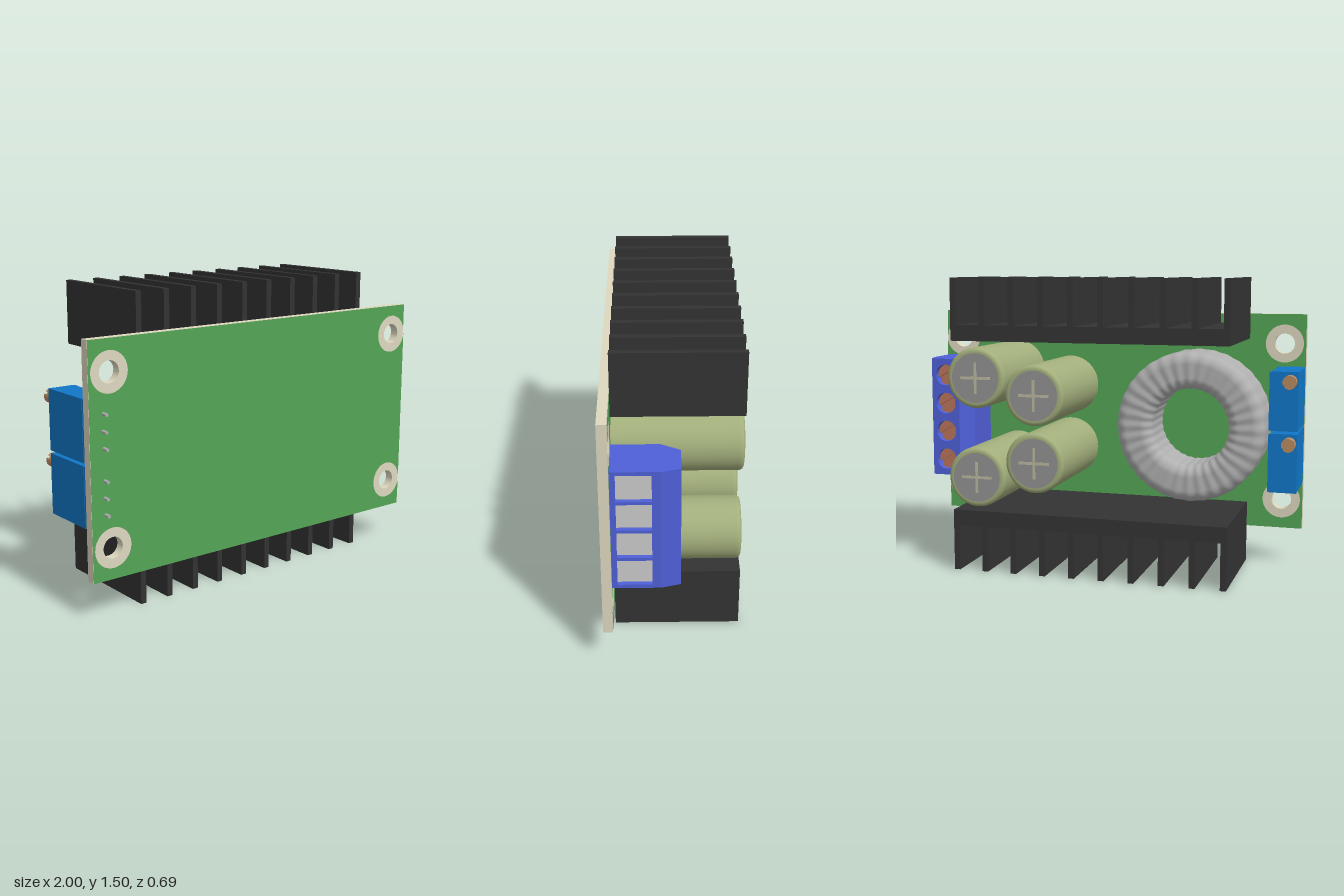
import * as THREE from 'three';
import { toCreasedNormals } from 'three/addons/utils/BufferGeometryUtils.js';

const mat = (color) => new THREE.MeshStandardMaterial({ color });
const M = {
  green: mat(0x55a556), tan: mat(0xded8bf), black: mat(0x333333), violet: mat(0x4f60d8),
  blue: mat(0x1177c8), brass: mat(0xb98a60), copper: mat(0xb8735a), pale: mat(0xdddddd),
  olive: mat(0xa3af7c), grey: mat(0x929292), cross: mat(0xbcb8a0), steel: mat(0xb0b0b0),
};
const MID = 0.75, BACK = -0.345, FACE = 0.265;

function add(parent, name, geo, material, x = 0, y = 0, z = 0) {
  const m = new THREE.Mesh(geo, material);
  m.name = name;
  m.position.set(x, y, z);
  parent.add(m);
  return m;
}

// Box given by its limits
function box(parent, name, material, x0, x1, y0, y1, z0, z1) {
  return add(parent, name, new THREE.BoxGeometry(x1 - x0, y1 - y0, z1 - z0), material,
    (x0 + x1) / 2, (y0 + y1) / 2, (z0 + z1) / 2);
}

function rect(x0, x1, y0, y1, Type = THREE.Shape) {
  const s = new Type();
  s.moveTo(x0, y0);
  s.lineTo(x1, y0);
  s.lineTo(x1, y1);
  s.lineTo(x0, y1);
  s.closePath();
  return s;
}

const circle = (x, y, r) => new THREE.Path().absarc(x, y, r, 0, Math.PI * 2, true);
const extrude = (shape, depth) => toCreasedNormals(
  new THREE.ExtrudeGeometry(shape, { depth, bevelEnabled: false, curveSegments: 20 }), 0.6);

// Screw with a slotted head, pointing to +z from its base
function slottedScrew(name, r, height, material) {
  const g = new THREE.Group();
  g.name = name;
  const slot = height * 0.35, a = 0.2;
  const shaft = new THREE.CylinderGeometry(r, r, height - slot, 24).rotateX(Math.PI / 2);
  add(g, 'screwBody', shaft, material, 0, 0, (height - slot) / 2);
  const half = new THREE.Shape().absarc(0, 0, r, a, Math.PI - a, false);
  half.closePath();
  for (const turn of [0, Math.PI]) {
    add(g, 'screwHeadHalf', extrude(half, slot), material, 0, 0, height - slot).rotation.z = turn;
  }
  return g;
}

// Circuit board with four plated mounting holes
function board() {
  const g = new THREE.Group();
  g.name = 'circuitBoard';
  const spots = [];
  for (const x of [-0.89, 0.905]) for (const y of [0.34, 1.16]) spots.push([x, y]);
  const core = rect(-1, 1, 0.188, 1.312), layer = rect(-1, 1, 0.188, 1.312);
  for (const [x, y] of spots) {
    core.holes.push(circle(x, y, 0.052));
    layer.holes.push(circle(x, y, 0.098));
  }
  add(g, 'boardCore', extrude(core, 0.046), M.tan, 0, 0, FACE + 0.002);
  const skin = new THREE.ShapeGeometry(layer, 24);
  add(g, 'frontSolderMask', skin, M.green, 0, 0, 0.315);
  add(g, 'backSolderMask', skin.clone().rotateY(Math.PI), M.green, 0, 0, FACE)
    .geometry = new THREE.ShapeGeometry(layer, 24).scale(1, 1, -1);
  // Reverse the winding so the back layer faces -z
  const back = g.children[2].geometry;
  back.setIndex(Array.from(back.index.array).reverse());
  back.computeVertexNormals();
  return g;
}

// Finned heat sink, fins upward
function heatSink() {
  const g = new THREE.Group();
  g.name = 'heatSink';
  box(g, 'sinkBase', M.black, -0.71, 0.71, 0, 0.08, BACK, FACE);
  for (let i = 0; i < 10; i++) {
    const x = -0.695 + i * 0.1544;
    box(g, 'fin', M.black, x - 0.015, x + 0.015, 0.08, 0.316, BACK, FACE);
  }
  return g;
}

// Can with rounded rim, grey end disc and cross
function capacitor() {
  const g = new THREE.Group();
  g.name = 'capacitor';
  const r = 0.154, h = FACE - BACK, c = 0.022;
  const pts = [new THREE.Vector2(r, 0), new THREE.Vector2(r, 0.02), new THREE.Vector2(r, h - c - 0.01)];
  for (let i = 0; i <= 6; i++) {
    const t = i / 6 * Math.PI / 2;
    pts.push(new THREE.Vector2(r - c + c * Math.cos(t), h - c + c * Math.sin(t)));
  }
  pts.push(new THREE.Vector2(r - c - 0.006, h));
  add(g, 'can', new THREE.LatheGeometry(pts, 48).rotateX(-Math.PI / 2), M.olive, 0, 0, FACE);
  const disc = new THREE.CylinderGeometry(0.128, 0.128, 0.02, 48).rotateX(Math.PI / 2);
  add(g, 'endDisc', disc, M.grey, 0, 0, BACK + 0.011);
  box(g, 'crossBar', M.cross, -0.08, 0.08, -0.007, 0.007, BACK - 0.001, BACK + 0.005);
  box(g, 'crossBar', M.cross, -0.007, 0.007, -0.08, 0.08, BACK - 0.001, BACK + 0.005);
  return g;
}

// Wound ring: rounded-rectangle section with rippled turns
function coil() {
  const r0 = 0.195, r1 = 0.385, h = 0.162, c = 0.06;
  const s = new THREE.Shape();
  s.absarc(r1 - c, h - c, c, 0, Math.PI / 2, false);
  s.absarc(r0 + c, h - c, c, Math.PI / 2, Math.PI, false);
  s.absarc(r0 + c, -h + c, c, Math.PI, Math.PI * 1.5, false);
  s.absarc(r1 - c, -h + c, c, Math.PI * 1.5, Math.PI * 2, false);
  s.closePath();
  const geo = new THREE.LatheGeometry(s.getPoints(6), 192);
  const p = geo.attributes.position, rm = (r0 + r1) / 2;
  for (let i = 0; i < p.count; i++) {
    const x = p.getX(i), z = p.getZ(i), r = Math.hypot(x, z);
    const k = 0.985 + 0.015 * Math.cos(32 * Math.atan2(z, x));
    const f = (rm + (r - rm) * k) / r;
    p.setXYZ(i, x * f, p.getY(i) * k, z * f);
  }
  geo.computeVertexNormals();
  return geo.rotateX(Math.PI / 2);
}

// Four-way screw terminal
function terminal() {
  const g = new THREE.Group();
  g.name = 'terminalBlock';
  const ways = [-0.228, -0.076, 0.076, 0.228];
  box(g, 'terminalBody', M.violet, 0.75, 0.955, 0.435, 1.065, 0.04, FACE);
  // Side wall with wire openings
  const wall = rect(-FACE, -0.04, -0.315, 0.315);
  for (const y of ways) wall.holes.push(rect(-0.24, -0.08, y - 0.068, y + 0.068, THREE.Path));
  add(g, 'wireSide', extrude(wall, 0.025), M.violet, 0.955, MID, 0).rotation.y = Math.PI / 2;
  // Tapered cap with screw holes
  const top = rect(-0.115, 0.115, -0.315, 0.315);
  for (const y of ways) top.holes.push(circle(-0.012, y, 0.056));
  let cap = new THREE.ExtrudeGeometry(top, { depth: 0.09, bevelEnabled: false, curveSegments: 20 });
  const p = cap.attributes.position;
  for (let i = 0; i < p.count; i++) {
    if (p.getZ(i) < 0.08) continue;
    if (p.getX(i) > 0.11) p.setX(i, 0.065);
    else if (p.getX(i) < -0.11) p.setX(i, -0.09);
  }
  cap = toCreasedNormals(cap, 0.6);
  add(g, 'terminalCap', cap, M.violet, 0.865, MID, 0.04).rotation.y = Math.PI;
  for (const y of ways) {
    box(g, 'wireClamp', M.pale, 0.95, 0.958, MID + y - 0.068, MID + y + 0.068, 0.08, 0.24);
    const screw = slottedScrew('terminalScrew', 0.055, 0.06, M.copper);
    screw.position.set(0.877, MID + y, 0.04);
    screw.rotation.set(0, Math.PI, 0.5);
    g.add(screw);
  }
  return g;
}

// Adjuster block with screw and three pins through the board
function trimmer(y) {
  const g = new THREE.Group();
  g.name = 'trimmer';
  box(g, 'trimmerBody', M.blue, -1, -0.866, y - 0.148, y + 0.148, -0.04, 0.255);
  box(g, 'trimmerRim', M.blue, -0.998, -0.856, y - 0.146, y + 0.146, -0.038, -0.018);
  box(g, 'trimmerFoot', M.blue, -0.998, -0.856, y - 0.146, y + 0.146, 0.235, FACE);
  const screw = slottedScrew('trimmerScrew', 0.034, 0.055, M.brass);
  screw.position.set(-0.96, y + 0.1, -0.04);
  screw.rotation.set(0, Math.PI, 0.6);
  g.add(screw);
  for (const d of [-0.08, 0, 0.08]) {
    const pin = new THREE.CylinderGeometry(0.008, 0.008, 0.085, 12).rotateX(Math.PI / 2);
    add(g, 'pin', pin, M.steel, d ? -0.927 : -0.93, y + d, 0.3045);
  }
  return g;
}

export function createModel() {
  const model = new THREE.Group();
  model.name = 'powerModule';
  model.add(board(), terminal(), trimmer(0.585), trimmer(0.895));

  const upper = heatSink(), lower = heatSink();
  upper.position.y = 1.184;
  lower.position.y = 0.316;
  lower.rotation.z = Math.PI;
  model.add(upper, lower);

  for (const [x, y] of [[0.58, 0.998], [0.27, 0.918], [0.58, 0.49], [0.27, 0.577]]) {
    const can = capacitor();
    can.position.set(x, y, 0);
    model.add(can);
  }
  add(model, 'inductorCoil', coil(), M.steel, -0.455, 0.745, 0.103);
  return model;
}
